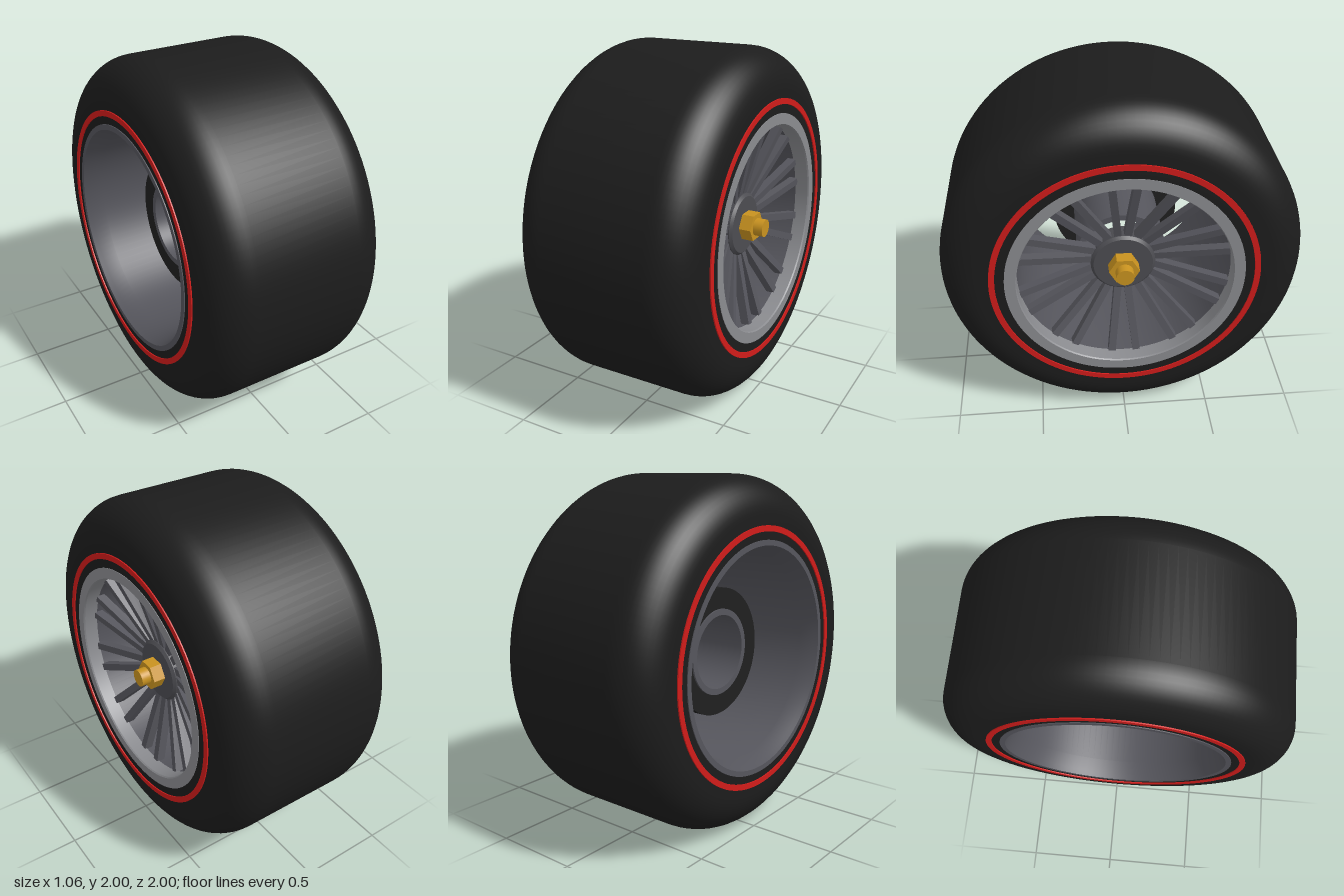
import * as THREE from 'three';
import { toCreasedNormals } from 'three/addons/utils/BufferGeometryUtils.js';

const mat = (color) => new THREE.MeshStandardMaterial({ color });
const RUBBER = mat(0x1c1c1c), RED = mat(0xd01c1a), LIP = mat(0x8a8b8f);
const METAL = mat(0x55555c), HUB = mat(0x4c4c51), BRAKE = mat(0x1f1f1f), GOLD = mat(0xc8921f);

export function createModel() {
  const wheel = new THREE.Group();
  wheel.name = 'wheel';
  wheel.position.y = 1;

  const add = (name, geometry, material, parent = wheel) => {
    const mesh = new THREE.Mesh(geometry, material);
    mesh.name = name;
    parent.add(mesh);
    return mesh;
  };

  // Revolve a counterclockwise [radius, x] profile around the axle (x axis)
  const revolve = (name, profile, material, segments = 96) => {
    const points = profile.map(([r, x]) => new THREE.Vector2(r, x));
    const geo = new THREE.LatheGeometry(points, segments).rotateZ(-Math.PI / 2);
    return add(name, toCreasedNormals(geo, 0.5), material);
  };
  const ring = (name, r0, r1, x0, x1, material) =>
    revolve(name, [[r0, x0], [r1, x0], [r1, x1], [r0, x1], [r0, x0]], material);

  // Tyre: flat sidewalls, rounded shoulders, flat tread
  const shoulder = [];
  for (let i = 0; i <= 12; i++) {
    const a = (i / 12) * Math.PI / 2;
    shoulder.push([0.78 + 0.22 * Math.sin(a), 0.305 + 0.22 * Math.cos(a)]);
  }
  revolve('tyre', [
    [0.63, -0.525],
    ...shoulder.map(([r, x]) => [r, -x]),
    ...shoulder.slice().reverse(),
    [0.63, 0.525], [0.63, -0.525],
  ], RUBBER, 128);

  // Red stripe on each sidewall
  for (const [side, x0, x1] of [['left', 0.52, 0.532], ['right', -0.532, -0.52]]) {
    ring(side + 'Stripe', 0.7, 0.732, x0, x1, RED);
  }

  // Rim barrel with its back flange, and the bright outer lip
  revolve('rimBarrel', [
    [0.59, 0.48], [0.59, -0.42], [0.615, -0.5], [0.625, -0.53],
    [0.655, -0.53], [0.655, -0.5], [0.64, -0.48], [0.64, 0.48], [0.59, 0.48],
  ], METAL);
  revolve('rimLip', [
    [0.585, 0.44], [0.65, 0.44], [0.65, 0.528], [0.59, 0.528], [0.585, 0.52], [0.585, 0.44],
  ], LIP);

  // Brake disc and the open bearing sleeve behind the spokes
  ring('brakeDisc', 0.245, 0.37, -0.235, -0.17, BRAKE);
  ring('bearingSleeve', 0.215, 0.25, -0.245, 0.26, METAL);

  // Hub plate with a chamfered face
  revolve('hub', [
    [0, 0.26], [0.18, 0.26], [0.18, 0.355], [0.165, 0.37], [0, 0.37],
  ], HUB, 48);

  // Ten V-shaped pairs of spokes, dished from the hub out to the lip
  const spokes = new THREE.Group();
  spokes.name = 'spokes';
  wheel.add(spokes);
  for (let i = 0; i < 10; i++) {
    const pair = new THREE.Group();
    pair.name = 'spokePair';
    pair.rotation.x = (i / 10) * Math.PI * 2;
    spokes.add(pair);
    for (const s of [-1, 1]) {
      const inner = new THREE.Vector3(0.315, 0.14, s * 0.024);
      const outer = new THREE.Vector3(0.43, 0.592, s * 0.072);
      const dir = outer.clone().sub(inner);
      const spoke = add('spoke', new THREE.BoxGeometry(0.05, dir.length(), 0.042), METAL, pair);
      spoke.position.copy(inner).add(outer).multiplyScalar(0.5);
      spoke.quaternion.setFromUnitVectors(new THREE.Vector3(0, 1, 0), dir.normalize());
    }
  }

  // Centre nut (corners pointing along z) and axle end
  const nut = new THREE.CylinderGeometry(0.085, 0.085, 0.08, 6);
  add('centreNut', toCreasedNormals(nut.rotateZ(-Math.PI / 2), 0.5), GOLD).position.x = 0.4;
  const axle = new THREE.CylinderGeometry(0.05, 0.05, 0.14, 32);
  add('axleEnd', axle.rotateZ(-Math.PI / 2), GOLD).position.x = 0.425;

  const model = new THREE.Group();
  model.name = 'model';
  model.add(wheel);
  return model;
}
